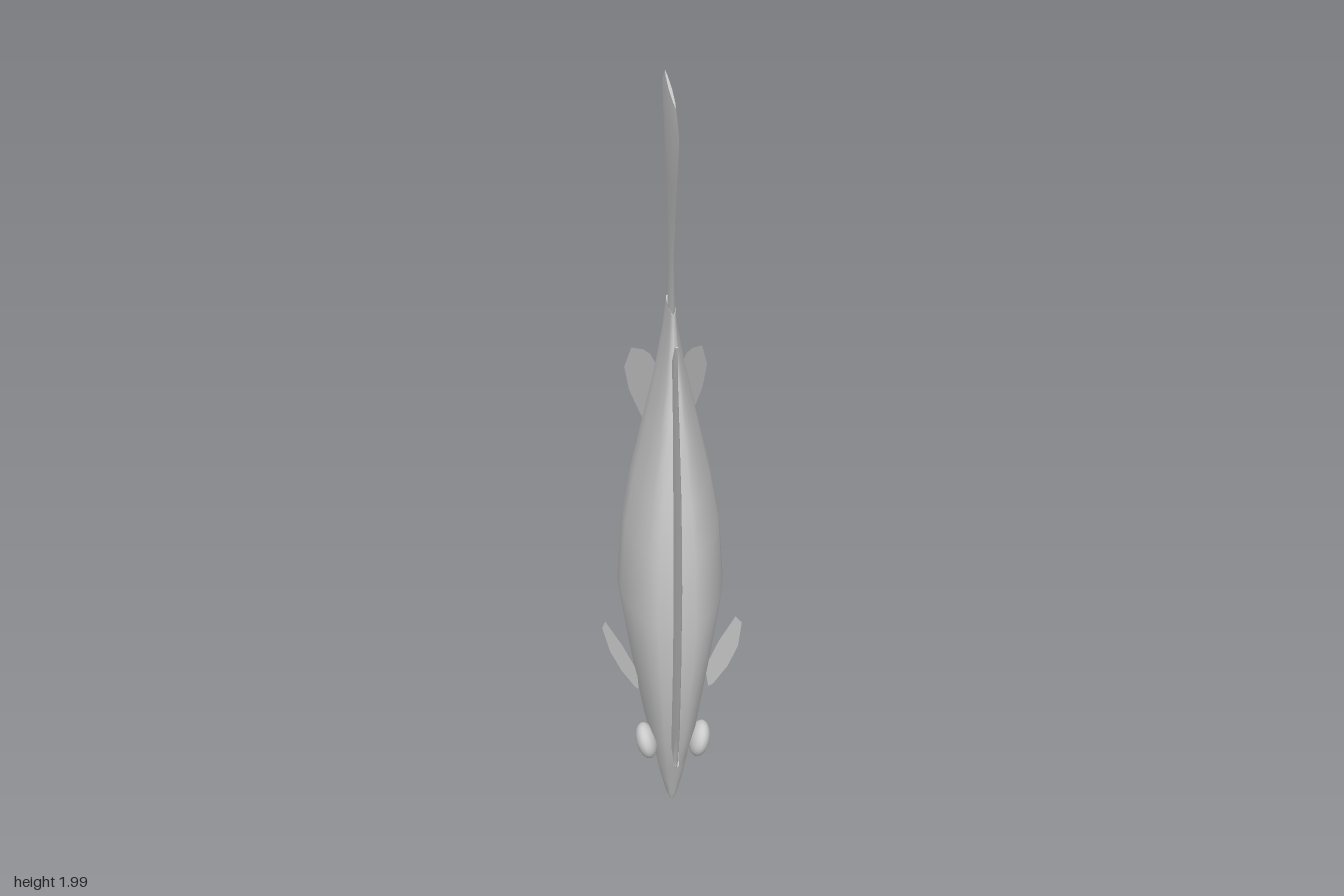
import * as THREE from 'three';
import { toCreasedNormals } from 'three/addons/utils/BufferGeometryUtils.js';

const grey = new THREE.MeshStandardMaterial({ color: 0xcccccc });
const thin = new THREE.MeshStandardMaterial({ color: 0xcccccc, side: THREE.DoubleSide });

// Half outlines as [width factor, fraction from front to back]
const BODY = [[0, 0], [0.35, 0.03], [0.57, 0.115], [0.8, 0.34], [0.95, 0.62], [1, 0.83], [0.88, 0.95], [0.5, 0.99], [0, 1]];
const LENS = [[0, 0], [0.6, 0.15], [1, 0.5], [0.6, 0.85], [0, 1]];
const WEDGE = [[0, 0], [0.5, 0.3], [1, 0.7], [1, 1]];

// Skin over mirrored sections [y, half width, front z, back z], lowest first
function loft(sections, half, crease) {
  const mirrored = half.slice(1).filter(p => p[0] > 0).reverse().map(([w, t]) => [-w, t]);
  const ring = [...half, ...mirrored];
  const n = ring.length, pos = [], idx = [];
  for (const [y, w, zf, zb] of sections)
    for (const [k, t] of ring) pos.push(k * w, y, zf + (zb - zf) * t);
  for (let s = 0; s < sections.length - 1; s++)
    for (let i = 0; i < n; i++) {
      const a = s * n + i, b = s * n + (i + 1) % n;
      idx.push(a, b, b + n, a, b + n, a + n);
    }
  const top = (sections.length - 1) * n;
  for (let i = 1; i < n - 1; i++) idx.push(0, i + 1, i, top, top + i, top + i + 1);
  const g = new THREE.BufferGeometry();
  g.setAttribute('position', new THREE.Float32BufferAttribute(pos, 3));
  g.setIndex(idx);
  return toCreasedNormals(g, crease);
}

// Flat fin outlined in (z, y) and leaned outwards by a rule for x
function sheet(points, xRule, side) {
  const g = new THREE.ShapeGeometry(new THREE.Shape(points.map(p => new THREE.Vector2(...p))));
  const p = g.attributes.position;
  for (let i = 0; i < p.count; i++) {
    const z = p.getX(i), y = p.getY(i);
    p.setXYZ(i, side * xRule(z, y), y, z);
  }
  g.computeVertexNormals();
  return g;
}

export function createModel() {
  const model = new THREE.Group();
  model.name = 'fish';
  const add = (name, geometry, material = grey) => {
    const mesh = new THREE.Mesh(geometry, material);
    mesh.name = name;
    model.add(mesh);
    return mesh;
  };

  // Body, snout down, with a shelf behind the upper jaw for the mouth
  add('body', loft([
    [0.008, 0.006, 0.002, -0.016],
    [0.03, 0.016, 0.012, -0.022],
    [0.09, 0.031, 0.036, -0.026],
    [0.155, 0.044, 0.065, -0.036],
    [0.18, 0.05, 0.076, -0.082],
    [0.28, 0.075, 0.115, -0.095],
    [0.5, 0.112, 0.163, -0.108],
    [0.69, 0.14, 0.187, -0.115],
    [0.89, 0.126, 0.187, -0.115],
    [1.02, 0.102, 0.172, -0.112],
    [1.18, 0.065, 0.14, -0.107],
    [1.31, 0.036, 0.105, -0.1],
    [1.41, 0.018, 0.07, -0.092],
    [1.48, 0.01, 0.05, -0.085],
  ], BODY, 0.9));

  // Tail stalk and fan
  add('tailFin', loft([
    [1.46, 0.01, 0.051, -0.086],
    [1.52, 0.008, 0.05, -0.092],
    [1.635, 0.006, 0.055, -0.115],
    [1.8, 0.007, 0.137, -0.214],
    [1.955, 0.009, 0.215, -0.307],
    [2.0, 0.004, 0.125, -0.22],
  ], LENS, 0.7));

  // Lower jaw
  add('lowerJaw', loft([
    [0.035, 0.006, -0.06, -0.072],
    [0.06, 0.016, -0.055, -0.076],
    [0.12, 0.032, -0.05, -0.081],
    [0.2, 0.052, -0.045, -0.086],
  ], BODY, 0.9));

  // Long back fin, tapering to a thin outer edge
  add('backFin', loft([
    [0.245, 0.006, 0.178, 0.165],
    [0.26, 0.009, 0.188, 0.1],
    [0.365, 0.01, 0.24, 0.11],
    [0.575, 0.01, 0.277, 0.15],
    [0.81, 0.01, 0.31, 0.17],
    [1.04, 0.009, 0.3, 0.15],
    [1.21, 0.007, 0.245, 0.12],
    [1.345, 0.006, 0.18, 0.08],
    [1.38, 0.006, 0.173, 0.09],
    [1.44, 0.004, 0.157, 0.148],
  ], WEDGE, 0.6));

  // Mirrored pairs
  for (const [label, side] of [['left', 1], ['right', -1]]) {
    const eye = add(label + 'Eye', new THREE.SphereGeometry(0.05, 16, 12));
    eye.scale.set(0.55, 1, 1);
    eye.position.set(side * 0.072, 0.235, 0.035);
    eye.rotation.z = -side * 0.25;

    add(label + 'SideFin', sheet(
      [[0.06, 0.42], [0.078, 0.44], [0.094, 0.505], [0.077, 0.555], [0.012, 0.585], [-0.048, 0.567], [-0.052, 0.49], [-0.03, 0.42]],
      (z, y) => 0.14 + 0.56 * (y - 0.505), side), thin);

    add(label + 'BellyFin', sheet(
      [[-0.085, 1.27], [-0.11, 1.312], [-0.13, 1.316], [-0.17, 1.305], [-0.21, 1.235], [-0.21, 1.17], [-0.18, 1.09], [-0.125, 1.065], [-0.1, 1.11]],
      (z, y) => 0.09 + 0.75 * (-z - 0.17) + 0.18 * (y - 1.305), side), thin);
  }
  return model;
}
